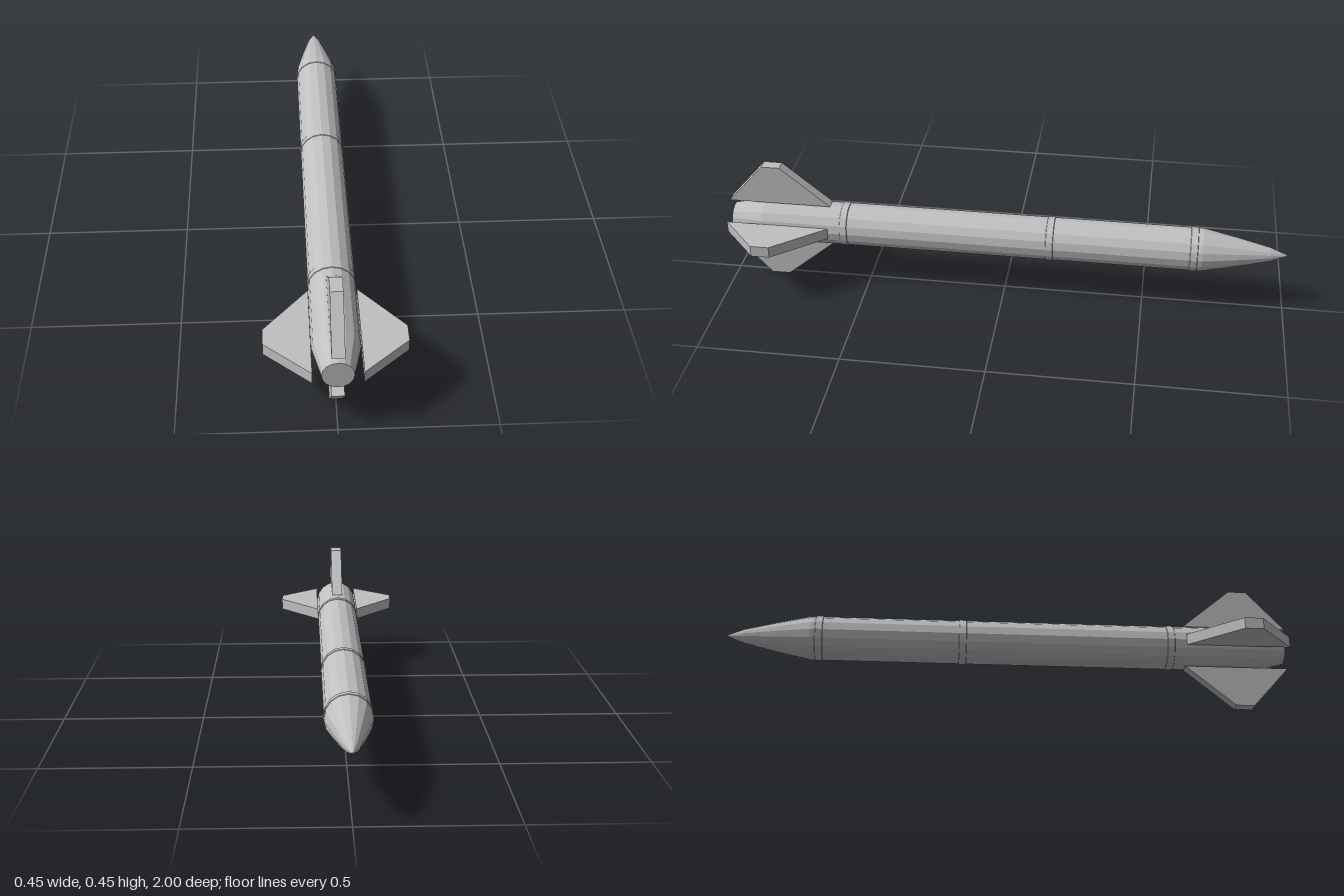
import * as THREE from 'three';

const SIDES = 16;
const AXIS_Y = 0.224;

export function createModel() {
  const model = new THREE.Group();
  const grey = new THREE.MeshStandardMaterial({ color: 0xc0c0c0 });
  grey.name = 'light grey';
  grey.flatShading = true;

  // Turned part along z; profile points are [radius, z] from nose to tail
  function turned(name, profile) {
    const points = profile.map(([r, z]) => new THREE.Vector2(r, z));
    const geometry = new THREE.LatheGeometry(points, SIDES).rotateX(Math.PI / 2);
    const mesh = new THREE.Mesh(geometry, grey);
    mesh.name = name;
    mesh.position.y = AXIS_Y;
    model.add(mesh);
  }

  turned('noseCone', [[0, -1], [0.025, -0.935], [0.052, -0.82], [0.077, -0.7], [0.077, -0.67]]);
  turned('forwardBody', [[0.077, -0.67], [0.077, -0.17]]);
  turned('rearBody', [[0.077, -0.17], [0.077, 0.575]]);
  turned('tailSection', [[0.077, 0.575], [0.077, 0.87], [0.05, 0.99], [0, 0.99]]);

  // Slightly raised joint bands
  for (const z of [-0.67, -0.165, 0.575]) {
    turned('jointBand', [[0.076, z - 0.014], [0.079, z - 0.012], [0.079, z + 0.012], [0.076, z + 0.014]]);
  }

  // Four swept fins: outline drawn as (z, radius), extruded across its thickness
  const outline = new THREE.Shape([
    new THREE.Vector2(0.63, 0.078),
    new THREE.Vector2(1, 0.078),
    new THREE.Vector2(0.87, 0.224),
    new THREE.Vector2(0.805, 0.224),
  ]);
  const finGeometry = new THREE.ExtrudeGeometry(outline, { depth: 0.041, bevelEnabled: false });
  finGeometry.translate(0, 0, -0.0205).rotateY(-Math.PI / 2);
  ['topFin', 'rightFin', 'bottomFin', 'leftFin'].forEach((name, i) => {
    const fin = new THREE.Mesh(finGeometry, grey);
    fin.name = name;
    fin.position.y = AXIS_Y;
    fin.rotation.z = (i * Math.PI) / 2;
    model.add(fin);
  });

  return model;
}
